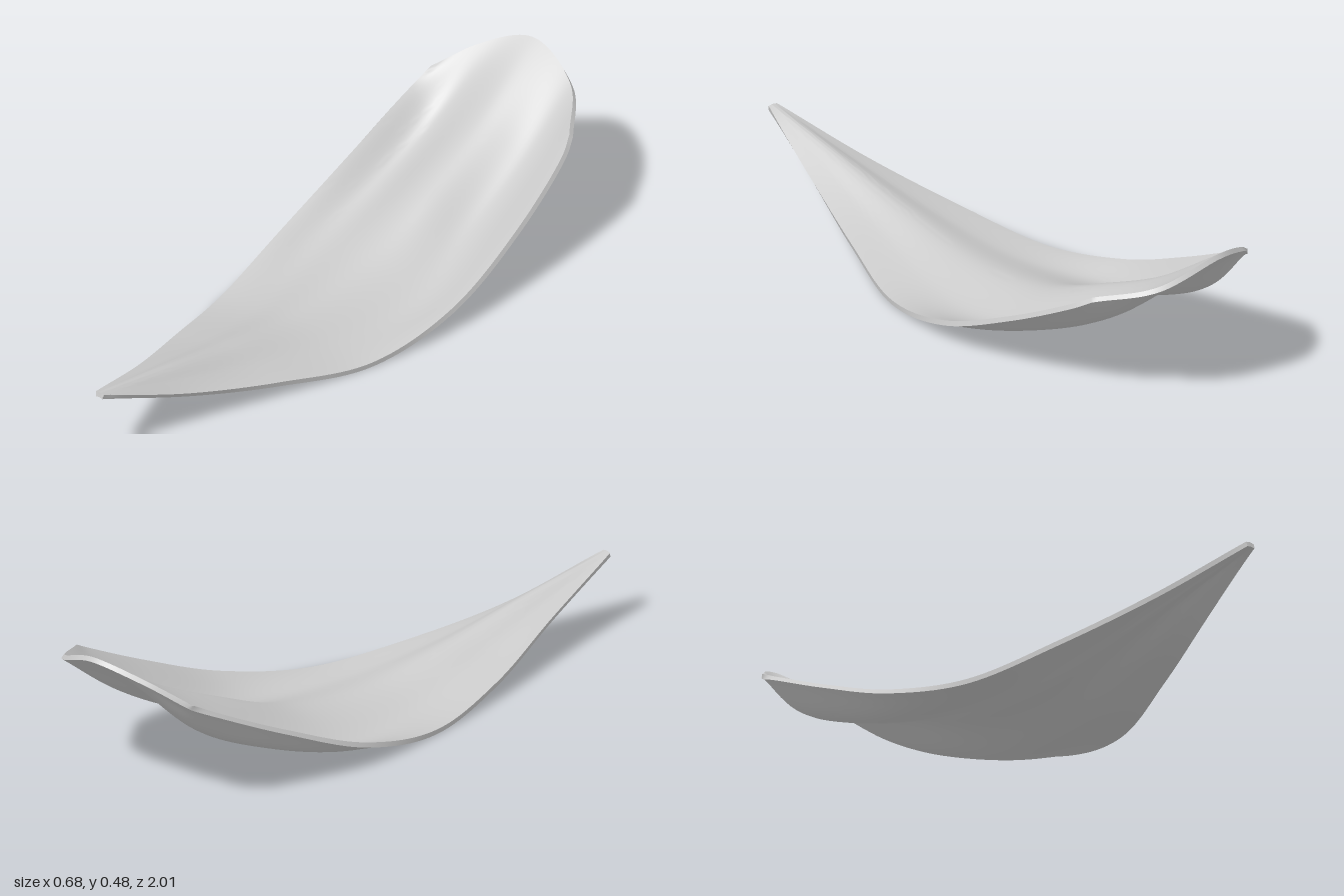
import * as THREE from 'three';
import { toCreasedNormals } from 'three/addons/utils/BufferGeometryUtils.js';

const ACROSS = 48, ALONG = 72, THICKNESS = 0.015;

// Lengthwise rails of the petal, each running from the narrow tip to the broad back rim
const leftRim = [[0.012, 0.212, 1], [-0.085, 0.125, 0.7], [-0.2, 0.048, 0.4], [-0.286, 0.01, 0.1],
  [-0.332, 0.07, -0.2], [-0.328, 0.195, -0.5], [-0.312, 0.315, -0.75], [-0.295, 0.355, -0.83]];
const leftValley = [[0.019, 0.213, 1], [-0.03, 0.142, 0.7], [-0.095, 0.068, 0.4], [-0.16, 0.018, 0.1],
  [-0.23, 0.031, -0.2], [-0.23, 0.12, -0.5], [-0.22, 0.245, -0.75], [-0.2, 0.427, -0.925]];
const ridge = [[0.026, 0.214, 1], [0.02, 0.162, 0.7], [0.01, 0.1, 0.4], [-0.002, 0.055, 0.1],
  [-0.015, 0.08, -0.2], [-0.028, 0.195, -0.5], [-0.038, 0.312, -0.75], [-0.055, 0.473, -1]];
const rightValley = [[0.033, 0.213, 1], [0.065, 0.137, 0.7], [0.105, 0.066, 0.4], [0.16, 0.018, 0.1],
  [0.19, 0.03, -0.2], [0.14, 0.12, -0.5], [0.13, 0.25, -0.75], [0.13, 0.406, -0.957]];
const rightRim = [[0.04, 0.212, 1], [0.11, 0.11, 0.7], [0.2, 0.045, 0.4], [0.29, 0.01, 0.1],
  [0.333, 0.07, -0.2], [0.322, 0.195, -0.5], [0.282, 0.32, -0.75], [0.257, 0.355, -0.81]];

const curve = points => new THREE.CatmullRomCurve3(points, false, 'centripetal');

// Middle sheet: a smooth cross-section through the rails at every step along the petal
function middleSheet() {
  const rails = [leftRim, leftValley, ridge, rightValley, rightRim]
    .map(rail => curve(rail.map(p => new THREE.Vector3(...p))));
  const points = [], index = [];
  const id = (i, j) => j * (ACROSS + 1) + i;
  for (let j = 0; j <= ALONG; j++) {
    const section = curve(rails.map(rail => rail.getPoint(j / ALONG)));
    for (let i = 0; i <= ACROSS; i++) points.push(section.getPoint(i / ACROSS));
  }
  for (let j = 0; j < ALONG; j++) {
    for (let i = 0; i < ACROSS; i++) {
      const a = id(i, j), b = id(i + 1, j), c = id(i + 1, j + 1), d = id(i, j + 1);
      index.push(a, b, c, a, c, d);
    }
  }
  // Boundary, anticlockwise from above
  const border = [];
  for (let i = 0; i < ACROSS; i++) border.push(id(i, 0));
  for (let j = 0; j < ALONG; j++) border.push(id(ACROSS, j));
  for (let i = ACROSS; i > 0; i--) border.push(id(i, ALONG));
  for (let j = ALONG; j > 0; j--) border.push(id(0, j));

  const geometry = new THREE.BufferGeometry().setFromPoints(points);
  geometry.setIndex(index);
  geometry.computeVertexNormals();
  return { points, index, border, normals: geometry.attributes.normal };
}

// Thicken the sheet both ways along its normals and close the rim
function petalGeometry() {
  const { points, index, border, normals } = middleSheet();
  const offset = side => points.map((p, k) => new THREE.Vector3()
    .fromBufferAttribute(normals, k).multiplyScalar(side * THICKNESS / 2).add(p));
  const n = points.length;
  const faces = [...index];
  for (let k = 0; k < index.length; k += 3) faces.push(index[k] + n, index[k + 2] + n, index[k + 1] + n);
  border.forEach((p, k) => {
    const q = border[(k + 1) % border.length];
    faces.push(p + n, q + n, q, p + n, q, p);
  });
  const geometry = new THREE.BufferGeometry().setFromPoints([...offset(1), ...offset(-1)]);
  geometry.setIndex(faces);
  geometry.computeBoundingBox();
  const box = geometry.boundingBox, centre = box.getCenter(new THREE.Vector3());
  geometry.translate(-centre.x, -box.min.y, -centre.z);
  return toCreasedNormals(geometry, 0.7);
}

export function createModel() {
  const group = new THREE.Group();
  group.name = 'petal';
  const blade = new THREE.Mesh(petalGeometry(), new THREE.MeshStandardMaterial({ color: 0xcccccc }));
  blade.name = 'petalBlade';
  group.add(blade);
  return group;
}
